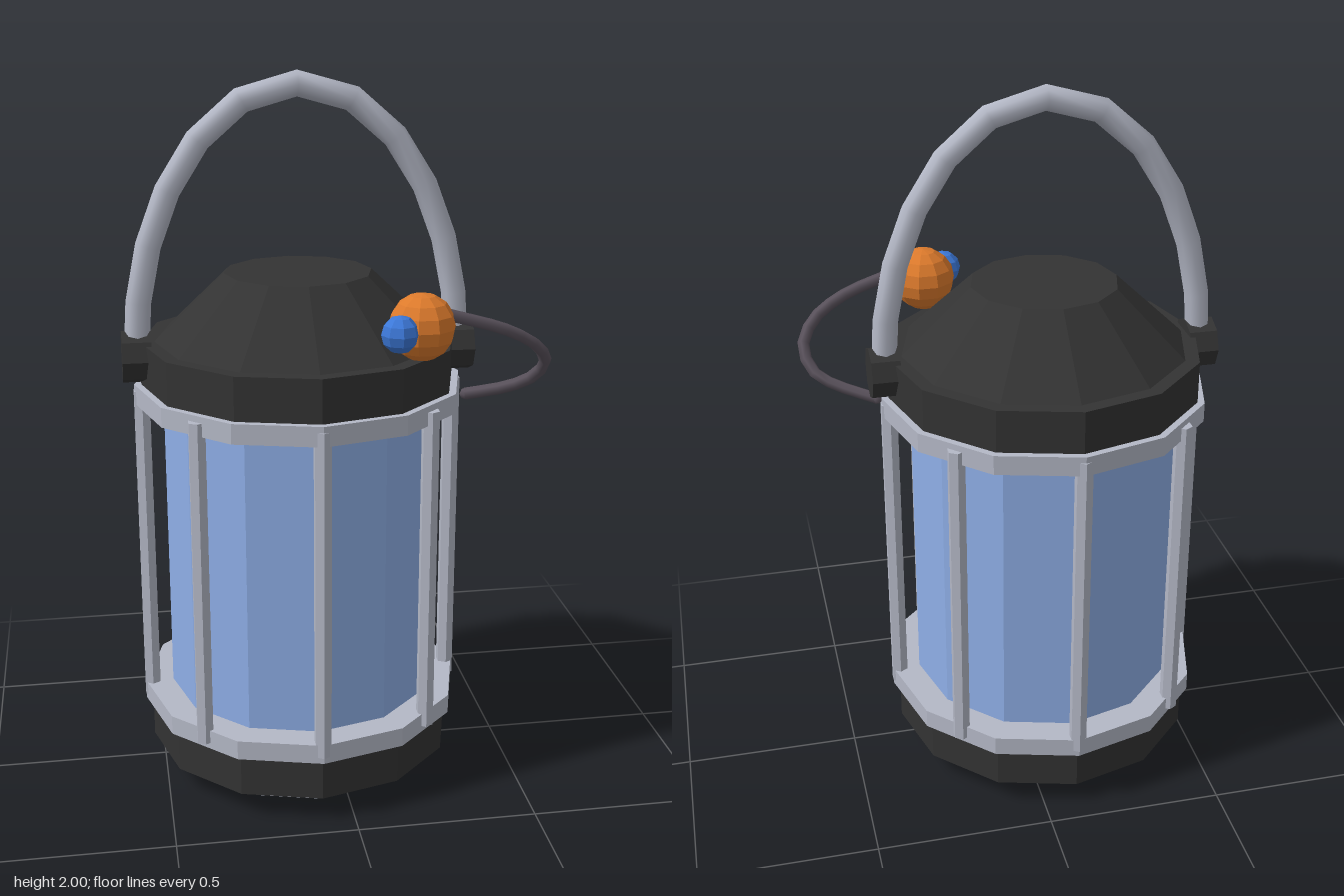
import * as THREE from 'three';

const AXIS = -0.09; // x of the lantern's upright axis

function material(name, color, flatShading = true) {
  const m = new THREE.MeshStandardMaterial({ color, flatShading });
  m.name = name;
  return m;
}

export function createModel() {
  const root = new THREE.Group();
  root.name = 'lantern';
  const dark = material('charcoal', 0x333333);
  const metal = material('paleMetal', 0xb4b8c6);
  const handleMetal = material('handleMetal', 0xb4b8c6, false);
  const glassBlue = material('glassBlue', 0x8eaee6);
  const orange = material('orange', 0xdc7a2c);
  const blue = material('blue', 0x3c78d8);
  const cord = material('cordGrey', 0x5a525c, false);

  const add = (name, geometry, mat, x, y, z, parent = root) => {
    const mesh = new THREE.Mesh(geometry, mat);
    mesh.name = name;
    mesh.position.set(x, y, z);
    parent.add(mesh);
    return mesh;
  };

  // Stacked twelve-sided body: name, material, bottom y, top y, bottom radius, top radius
  [
    ['foot', metal, 0, 0.07, 0.325, 0.325],
    ['base', dark, 0.07, 0.19, 0.44, 0.44],
    ['lowerRing', metal, 0.19, 0.245, 0.46, 0.46],
    ['glass', glassBlue, 0.245, 1.1, 0.38, 0.38],
    ['upperRing', metal, 1.1, 1.155, 0.46, 0.46],
    ['capBand', dark, 1.155, 1.275, 0.44, 0.44],
    ['capDome', dark, 1.275, 1.46, 0.4, 0.205],
  ].forEach(([name, mat, y0, y1, r0, r1]) => {
    add(name, new THREE.CylinderGeometry(r1, r0, y1 - y0, 12), mat, AXIS, (y0 + y1) / 2, 0);
  });

  // Cage of eight guard bars
  const cage = new THREE.Group();
  cage.name = 'guardBars';
  root.add(cage);
  const barGeometry = new THREE.CylinderGeometry(0.025, 0.025, 0.93, 6);
  for (let i = 0; i < 8; i++) {
    const a = (i * Math.PI) / 4;
    add('guardBar', barGeometry, metal, AXIS + 0.44 * Math.sin(a), 0.6725, 0.44 * Math.cos(a), cage);
  }

  // Handle arch and its side pivots
  const arch = [];
  for (let i = 0; i <= 12; i++) {
    const a = (i * Math.PI) / 12;
    arch.push(new THREE.Vector3(AXIS - 0.45 * Math.cos(a), 1.23 + 0.735 * Math.sin(a), 0));
  }
  add('handle', new THREE.TubeGeometry(new THREE.CatmullRomCurve3(arch), 12, 0.035, 8), handleMetal, 0, 0, 0);
  for (const side of [-1, 1]) {
    const pivot = add('handlePivot', new THREE.CylinderGeometry(0.073, 0.073, 0.08, 8), dark,
      AXIS + side * 0.45, 1.235, 0);
    pivot.rotation.z = Math.PI / 2;
  }

  // Charm: two beads on a bent cord
  add('largeBead', new THREE.SphereGeometry(0.09, 10, 8), orange, 0.19, 1.37, 0.32);
  add('smallBead', new THREE.SphereGeometry(0.05, 8, 6), blue, 0.118, 1.37, 0.39);
  const cordPath = new THREE.CatmullRomCurve3([
    [0.24, 1.405, 0.32], [0.43, 1.345, 0.3], [0.52, 1.29, 0.27], [0.557, 1.23, 0.22],
    [0.53, 1.17, 0.165], [0.47, 1.14, 0.135], [0.37, 1.112, 0.09],
  ].map((p) => new THREE.Vector3(...p)));
  add('cord', new THREE.TubeGeometry(cordPath, 14, 0.017, 6), cord, 0, 0, 0);
  const tip = cordPath.getPoint(1);
  add('cordTip', new THREE.SphereGeometry(0.017, 6, 4), cord, tip.x, tip.y, tip.z);

  return root;
}
